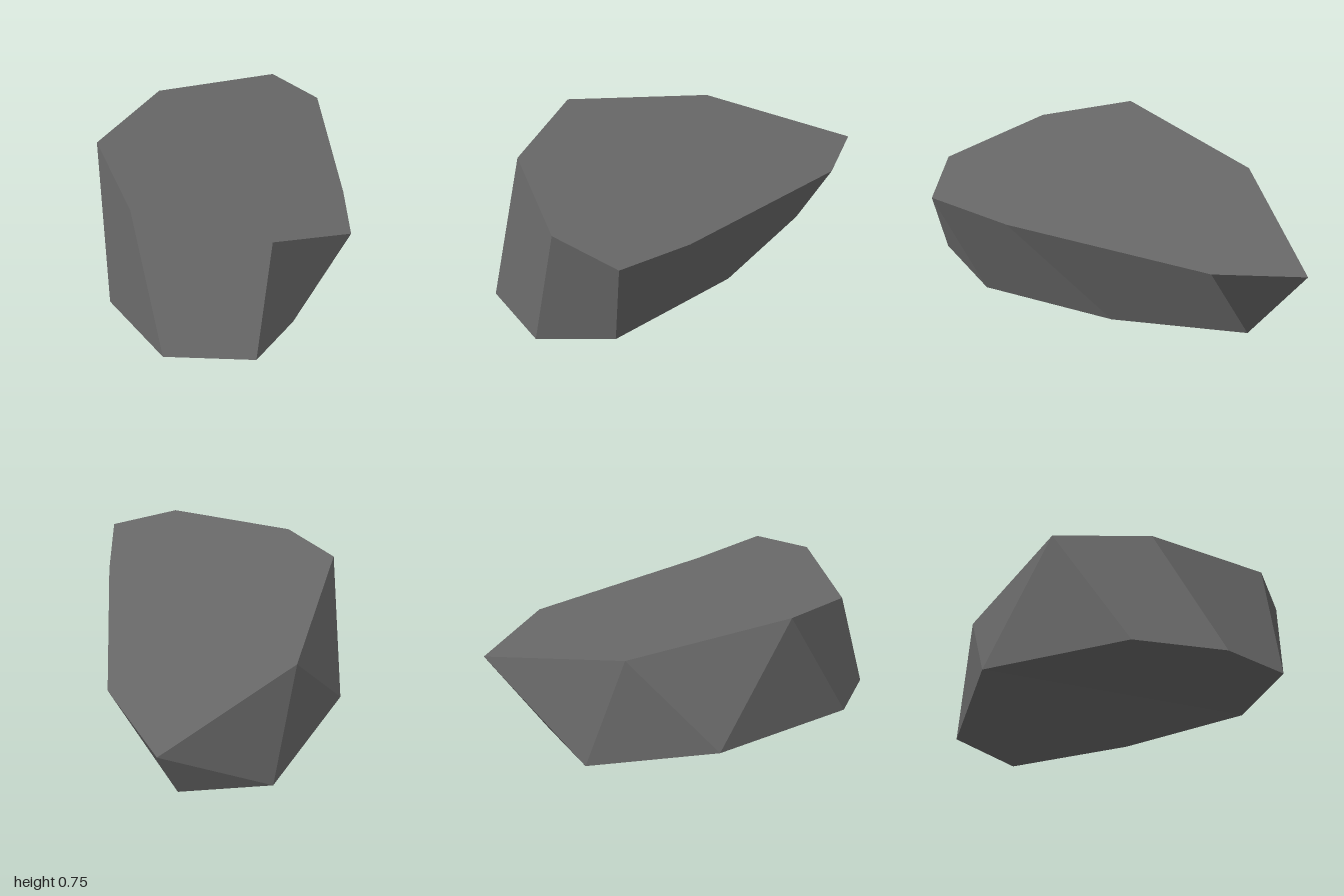
import * as THREE from 'three';

// Corners of the upper rim, clockwise from the back tip
const rim = {
  A: [0.33, 0.46, -1.0], B: [0.56, 0.53, -0.6], C: [0.6, 0.6, 0.4], D: [0.59, 0.66, 0.8],
  E: [0.24, 0.69, 0.9], F: [-0.39, 0.68, 0.66], G: [-0.58, 0.755, 0.21], H: [-0.32, 0.61, -0.54],
};
// Corners of the foot, counterclockwise from the right side
const foot = {
  a: [-0.6, 0.145, -0.19], b: [-0.52, 0.1, 0.62], c: [-0.25, 0.055, 0.95], d: [0.18, 0.085, 1.0],
  e: [0.37, 0.015, 0.67], f: [0.4, 0.015, -0.05], g: [0.25, 0, -0.72], h: [-0.21, 0.025, -0.72],
};
const corners = { ...rim, ...foot };

// Builds flat facets; each word lists the corners of one facet, with one shared normal
function facets(words) {
  const pos = [], nor = [];
  for (const word of words) {
    const p = [...word].map((k) => new THREE.Vector3(...corners[k]));
    const n = new THREE.Vector3();
    p.forEach((v, i) => n.add(v.clone().cross(p[(i + 1) % p.length])));
    n.normalize();
    for (let i = 1; i < p.length - 1; i++) {
      for (const v of [p[0], p[i], p[i + 1]]) {
        pos.push(v.x, v.y, v.z);
        nor.push(n.x, n.y, n.z);
      }
    }
  }
  const geo = new THREE.BufferGeometry();
  geo.setAttribute('position', new THREE.Float32BufferAttribute(pos, 3));
  geo.setAttribute('normal', new THREE.Float32BufferAttribute(nor, 3));
  return geo;
}

export function createModel() {
  const group = new THREE.Group();
  group.name = 'rock';
  const stone = new THREE.MeshStandardMaterial({ color: 0x686868 });
  stone.name = 'grey stone';

  const add = (name, words) => {
    const mesh = new THREE.Mesh(facets(words), stone);
    mesh.name = name;
    group.add(mesh);
  };

  add('rockTop', ['HGFEDCBA']);
  add('rockSides', ['cdEF', 'bcFG', 'abG', 'deDE', 'efCD', 'fgBC', 'ghAB', 'hHA', 'haH', 'aGH']);
  add('rockBase', ['edcba', 'ahgfe']);
  return group;
}
